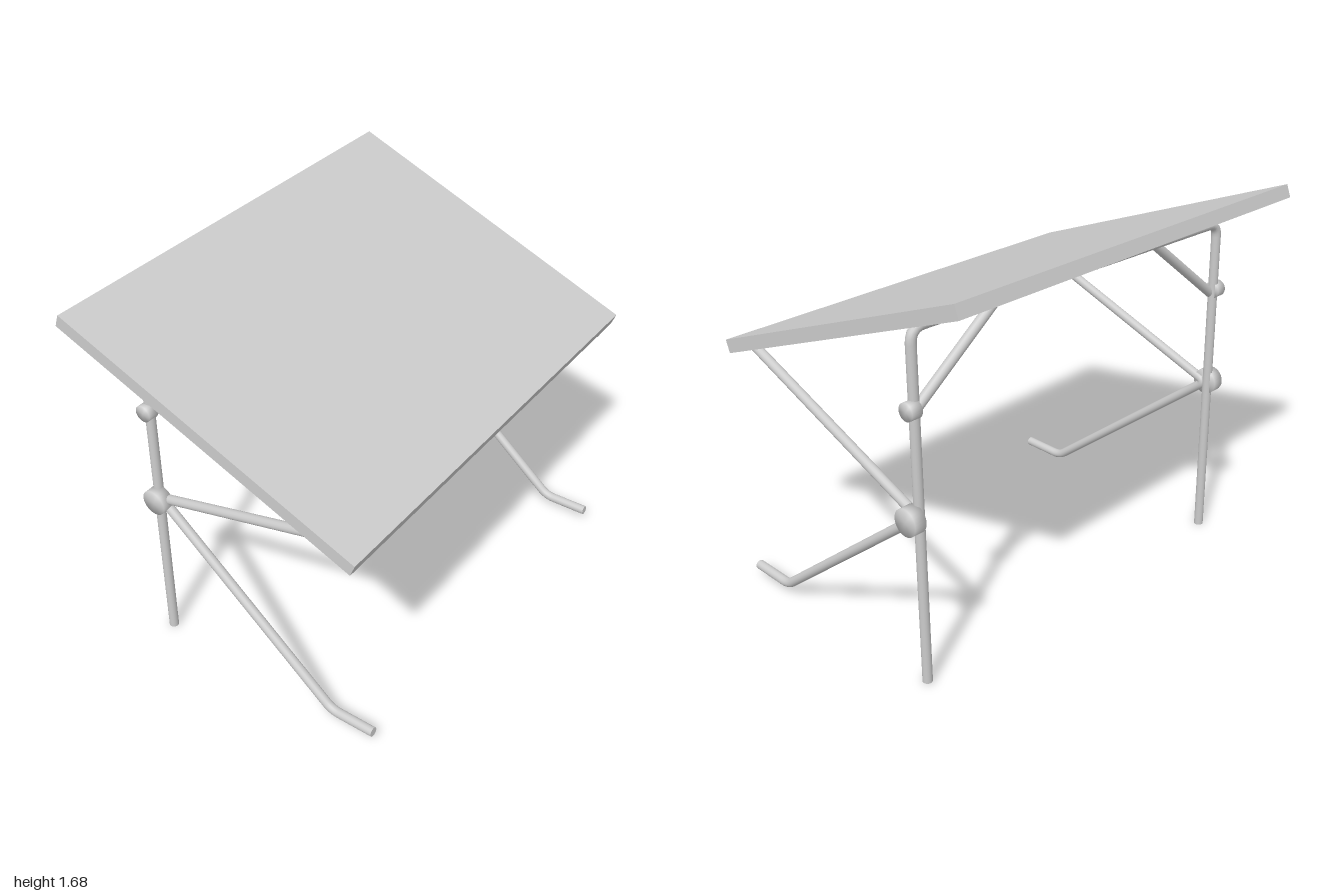
import * as THREE from 'three';

const V = (x, y, z) => new THREE.Vector3(x, y, z);
const R = 0.021; // tube radius

// Bent tube through corner points, with rounded bends and flat end caps
function bentTube(name, points, bend, material) {
  const path = new THREE.CurvePath();
  let start = points[0];
  for (let i = 1; i < points.length - 1; i++) {
    const p = points[i];
    const a = p.clone().add(points[i - 1].clone().sub(p).setLength(bend));
    const b = p.clone().add(points[i + 1].clone().sub(p).setLength(bend));
    path.add(new THREE.LineCurve3(start, a));
    path.add(new THREE.QuadraticBezierCurve3(a, p, b));
    start = b;
  }
  path.add(new THREE.LineCurve3(start, points[points.length - 1]));

  const group = new THREE.Group();
  group.name = name;
  const segments = points.length > 2 ? 240 : 2;
  group.add(new THREE.Mesh(new THREE.TubeGeometry(path, segments, R, 16), material));
  for (const t of [0, 1]) {
    const cap = new THREE.Mesh(new THREE.CircleGeometry(R, 16), material);
    const out = path.getTangentAt(t).multiplyScalar(t ? 1 : -1);
    cap.position.copy(path.getPointAt(t));
    cap.quaternion.setFromUnitVectors(V(0, 0, 1), out);
    group.add(cap);
  }
  return group;
}

// Disc knob with softly shaded rim, axis along z
function knob(name, radius, depth, x, y, z, material) {
  const h = depth / 2;
  const profile = [[0, -h], [radius, -h], [radius, h], [0, h]].map(p => new THREE.Vector2(...p));
  const mesh = new THREE.Mesh(new THREE.LatheGeometry(profile, 28), material);
  mesh.name = name;
  mesh.rotation.x = Math.PI / 2;
  mesh.position.set(x, y, z);
  return mesh;
}

export function createModel() {
  const model = new THREE.Group();
  model.name = 'foldingTable';
  const grey = new THREE.MeshStandardMaterial({ color: 0xcccccc });

  // Tilted table top
  const top = new THREE.Mesh(new THREE.BoxGeometry(1.454, 0.058, 1.98), grey);
  top.name = 'tableTop';
  top.position.set(-0.005, 1.395, 0.01);
  top.rotation.z = -Math.atan2(0.515, 1.36);
  model.add(top);

  // Both uprights and the bar joining them, one bent tube
  model.add(bentTube('uprightFrame', [
    V(-0.475, 0, 0.81), V(-0.475, 1.513, 0.785),
    V(-0.415, 1.513, -0.945), V(-0.415, 0, -0.92),
  ], 0.06, grey));

  // Matching support at each end: x offset, z offset, outward direction
  for (const [end, dx, dz, out] of [['front', 0, 0, 1], ['back', 0.055, -1.73, -1]]) {
    const at = (x, y, z) => V(x + dx, y, z + dz);

    // Arm under the top, folding back into the leg and its foot
    model.add(bentTube(end + 'ArmAndLeg', [
      at(0.6, 1.12, 0.86), at(-0.465, 0.752, 0.797),
      at(0.425, 0.043, 0.812), at(0.637, 0.05, 0.812),
    ], 0.04, grey));

    // Diagonal brace from the upright to the cross bar
    model.add(bentTube(end + 'Brace', [
      at(-0.465, 1.185, 0.79), V(-0.45 + dx * 0.6, 1.505, out > 0 ? 0.38 : -0.52),
    ], 0, grey));

    // Pivot knobs on the outer side
    const face = out > 0 ? 0.845 : -1;
    model.add(knob(end + 'PivotKnob', 0.058, 0.055, -0.465 + dx, 0.755, face - out * 0.0275, grey));
    model.add(knob(end + 'BraceKnob', 0.037, 0.05, -0.475 + dx, 1.205, face - out * 0.04, grey));
  }
  return model;
}
